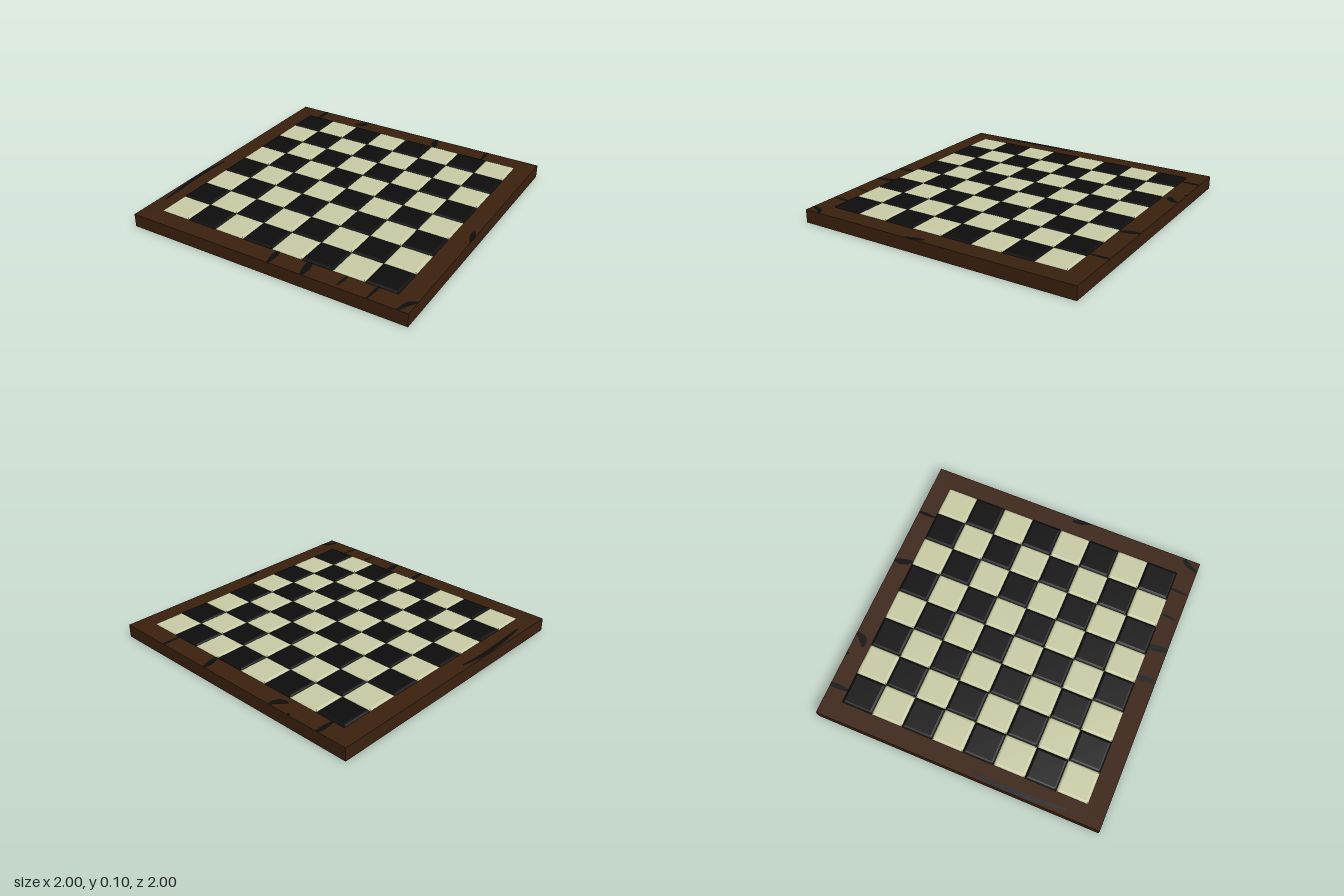
import * as THREE from 'three';

const wood = new THREE.MeshStandardMaterial({ color: 0x3a200e });
wood.name = 'dark brown wood';
const black = new THREE.MeshStandardMaterial({ color: 0x0d0d0d });
black.name = 'black';
const cream = new THREE.MeshStandardMaterial({ color: 0xc8caa4 });
cream.name = 'cream';

const TOP = 0.092, PITCH = 0.2178;

// Square tile with a softened, two-step bevel
function tileGeometry() {
  const profile = [[0.109, 0], [0.107, 0.003], [0.1, 0.009], [0.092, 0.012], [0, 0.012]]
    .map(([half, y]) => new THREE.Vector2(half * Math.SQRT2, y));
  const g = new THREE.LatheGeometry(profile, 4, Math.PI / 4).toNonIndexed();
  g.computeVertexNormals();
  return g;
}

// Flat tapered ribbon following [x, z] points, facing up or down
function veinGeometry(width, points, up) {
  const curve = new THREE.CatmullRomCurve3(points.map(([x, z]) => new THREE.Vector3(x, 0, z)));
  const steps = 12, pos = [], nor = [], index = [];
  for (let i = 0; i <= steps; i++) {
    const t = i / steps, p = curve.getPoint(t), d = curve.getTangent(t);
    const h = width / 2 * (0.4 + 0.6 * Math.sin(Math.PI * t));
    for (const s of [-1, 1]) {
      const x = THREE.MathUtils.clamp(p.x - s * d.z * h, -1, 1);
      const z = THREE.MathUtils.clamp(p.z + s * d.x * h, -1, 1);
      pos.push(x, 0, z);
      nor.push(0, up ? 1 : -1, 0);
    }
    if (i < steps) {
      const a = 2 * i, b = a + 1, c = a + 2, e = a + 3;
      if (up) index.push(a, b, c, b, e, c);
      else index.push(a, c, b, b, c, e);
    }
  }
  const g = new THREE.BufferGeometry();
  g.setAttribute('position', new THREE.Float32BufferAttribute(pos, 3));
  g.setAttribute('normal', new THREE.Float32BufferAttribute(nor, 3));
  g.setIndex(index);
  return g;
}

// Grain marks on the border, as [width, points]
const topVeins = [
  [0.035, [[-0.785, -1], [-0.785, -0.87]]],
  [0.05, [[-0.39, -0.995], [-0.42, -0.94], [-0.47, -0.915]]],
  [0.02, [[-0.56, -1], [-0.54, -0.985]]],
  [0.045, [[0.2, -1], [0.21, -0.94], [0.235, -0.87]]],
  [0.026, [[0.615, -1], [0.615, -0.87]]],
  [0.034, [[-0.96, 0.12], [-0.98, 0.3], [-0.975, 0.5], [-0.955, 0.75]]],
  [0.035, [[0.97, 0.05], [0.98, 0.1], [1, 0.18]]],
  [0.04, [[0.05, 0.87], [0.06, 1]]],
  [0.05, [[0.28, 0.87], [0.3, 1]]],
  [0.02, [[0.54, 0.88], [0.53, 0.98]]],
  [0.022, [[0.745, 0.87], [0.735, 1]]],
  [0.035, [[1, 0.88], [0.96, 0.92], [0.93, 1]]],
];

// Grain marks on the underside
const bottomVeins = [
  [0.018, [[0.67, -0.02], [0.21, 0.02]]],
  [0.028, [[-0.21, 0.42], [-0.66, 0.38]]],
  [0.03, [[0.48, -0.42], [0.2, -0.4], [-0.03, -0.355]]],
  [0.04, [[0.35, -0.53], [0.06, -0.55]]],
  [0.05, [[-0.36, -0.59], [-0.6, -0.6]]],
  [0.04, [[-0.66, 0.05], [-0.93, 0.05]]],
  [0.04, [[0.3, -0.97], [-0.13, -0.93]]],
  [0.045, [[0.09, -0.86], [-0.12, -0.83]]],
  [0.03, [[0.5, 0.47], [0.42, 0.475]]],
];

export function createModel() {
  const model = new THREE.Group();
  model.name = 'chequered board';

  const add = (parent, name, geometry, material, x, y, z) => {
    const mesh = new THREE.Mesh(geometry, material);
    mesh.name = name;
    mesh.position.set(x, y, z);
    parent.add(mesh);
  };

  // Wooden slab
  add(model, 'base', new THREE.BoxGeometry(2, TOP - 0.001, 2), wood, 0, (TOP + 0.001) / 2, 0);

  // Eight by eight tiles
  const tiles = new THREE.Group();
  tiles.name = 'tiles';
  model.add(tiles);
  const tile = tileGeometry();
  for (let row = 0; row < 8; row++) {
    for (let col = 0; col < 8; col++) {
      const dark = (row + col) % 2 === 0;
      add(tiles, dark ? 'darkTile' : 'lightTile', tile, dark ? black : cream,
        (col - 3.5) * PITCH, TOP, (row - 3.5) * PITCH);
    }
  }

  // Dark wood grain
  const grain = new THREE.Group();
  grain.name = 'woodGrain';
  model.add(grain);
  for (const [w, pts] of topVeins) add(grain, 'topVein', veinGeometry(w, pts, true), black, 0, TOP + 0.001, 0);
  for (const [w, pts] of bottomVeins) add(grain, 'bottomVein', veinGeometry(w, pts, false), black, 0, 0, 0);

  return model;
}
